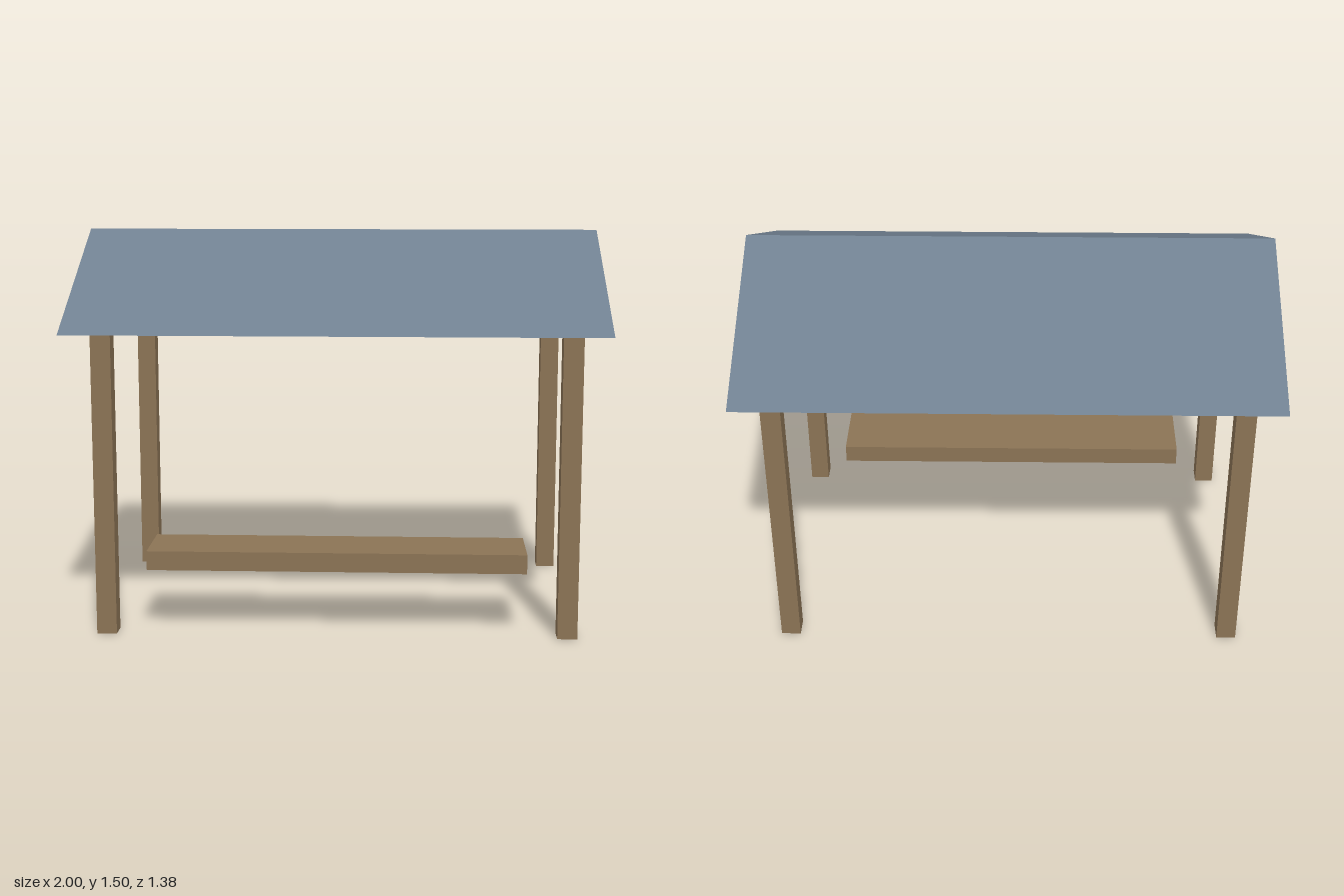
import * as THREE from 'three';

export function createModel() {
  const model = new THREE.Group();
  const wood = new THREE.MeshStandardMaterial({ color: 0x8b7355 });
  wood.name = 'wood';
  const slate = new THREE.MeshStandardMaterial({ color: 0x708090 });
  slate.name = 'slate';

  const add = (name, geometry, material, x, y, z) => {
    const mesh = new THREE.Mesh(geometry, material);
    mesh.name = name;
    mesh.position.set(x, y, z);
    model.add(mesh);
    return mesh;
  };

  const eave = 1.152, ridge = 1.495, halfDepth = 0.69;

  // Four square corner posts
  const postGeometry = new THREE.BoxGeometry(0.075, eave, 0.075);
  for (const [side, sx] of [['Left', 1], ['Right', -1]]) {
    for (const [end, sz] of [['front', 1], ['back', -1]]) {
      add(`${end}${side}Post`, postGeometry, wood, sx * 0.868, eave / 2, sz * 0.527);
    }
  }

  // Plank bench along the front
  add('bench', new THREE.BoxGeometry(1.43, 0.073, 0.265), wood, 0, 0.281, 0.413);

  // Solid gable roof: triangular section swept along x
  const gable = new THREE.Shape([
    new THREE.Vector2(-halfDepth, 0),
    new THREE.Vector2(halfDepth, 0),
    new THREE.Vector2(0, ridge - eave),
  ]);
  const roofGeometry = new THREE.ExtrudeGeometry(gable, { depth: 2, bevelEnabled: false });
  roofGeometry.translate(0, 0, -1).rotateY(Math.PI / 2);
  add('roof', roofGeometry, slate, 0, eave, 0);

  return model;
}
